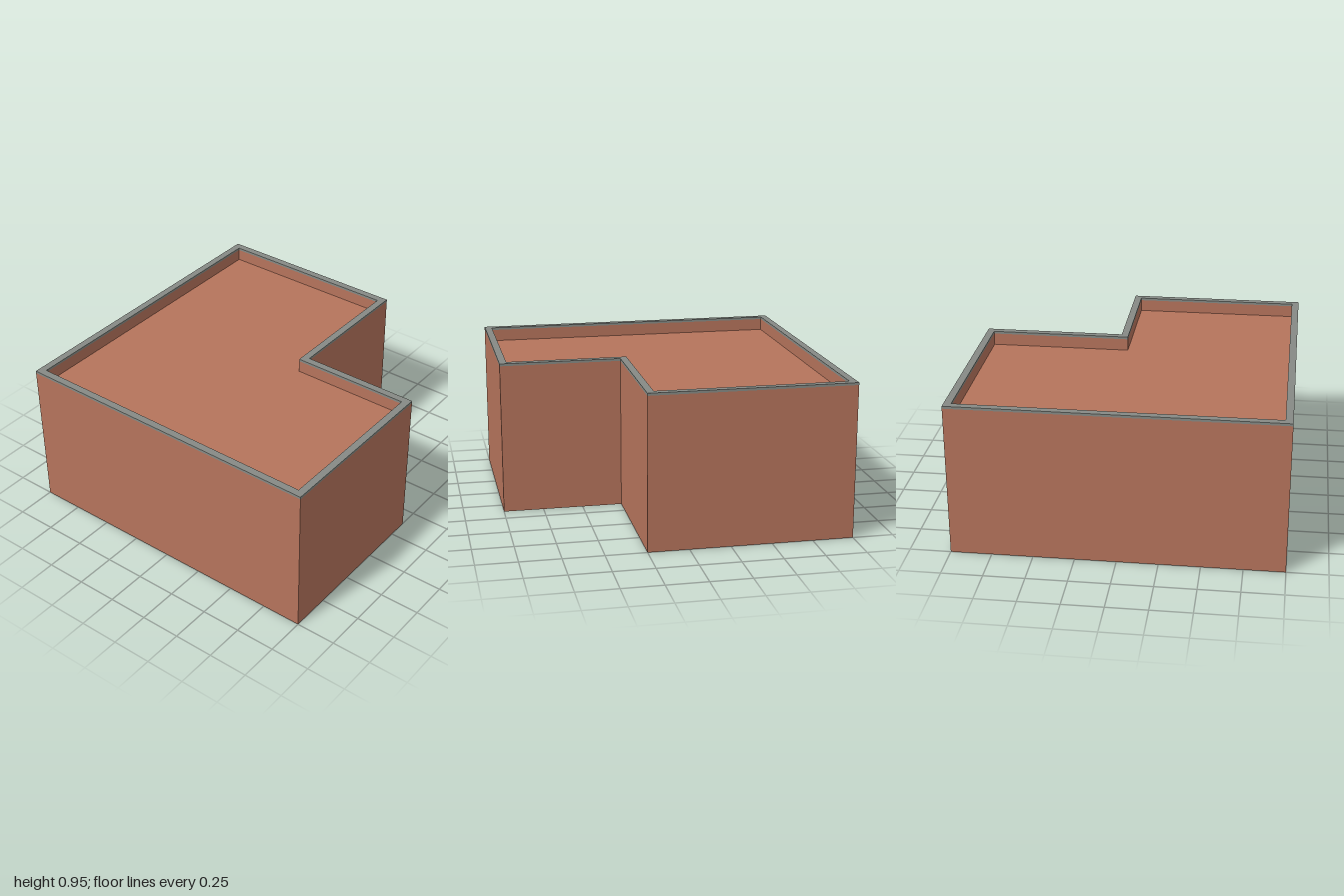
import * as THREE from 'three';

const WALL = 0.045, TOP = 0.955, CAP = 0.015;
const SLAB_BOTTOM = 0.815, SLAB_TOP = 0.865;

// L-shaped plan, inset evenly by t; shape y is -z
function planPoints(t) {
  const x0 = -1 + t, x1 = 0.125 - t, x2 = 1 - t;
  const z0 = -1 + t, z1 = 0.25 - t, z2 = 1 - t;
  return [[x0, z0], [x0, z2], [x1, z2], [x1, z1], [x2, z1], [x2, z0]]
    .map(([x, z]) => new THREE.Vector2(x, -z));
}

// Upright extrusion of the plan from y0 to y1, hollow when a wall is given
function extrudePlan(name, material, inset, y0, y1, wall = 0) {
  const shape = new THREE.Shape(planPoints(inset));
  if (wall) shape.holes.push(new THREE.Path(planPoints(inset + wall)));
  const geometry = new THREE.ExtrudeGeometry(shape, { depth: y1 - y0, bevelEnabled: false });
  geometry.rotateX(-Math.PI / 2).translate(0, y0, 0);
  const mesh = new THREE.Mesh(geometry, material);
  mesh.name = name;
  return mesh;
}

export function createModel() {
  const brick = new THREE.MeshStandardMaterial({ color: 0xb5745c });
  const stone = new THREE.MeshStandardMaterial({ color: 0x868a85 });

  const building = new THREE.Group();
  building.name = 'building';
  building.add(
    // Walls, open at the bottom and rising past the roof as a parapet
    extrudePlan('walls', brick, 0, 0, TOP - CAP, WALL),
    // Flat roof set down inside the parapet
    extrudePlan('roofSlab', brick, WALL, SLAB_BOTTOM, SLAB_TOP),
    // Grey coping along the top of the walls
    extrudePlan('coping', stone, 0, TOP - CAP, TOP, WALL),
  );
  return building;
}
